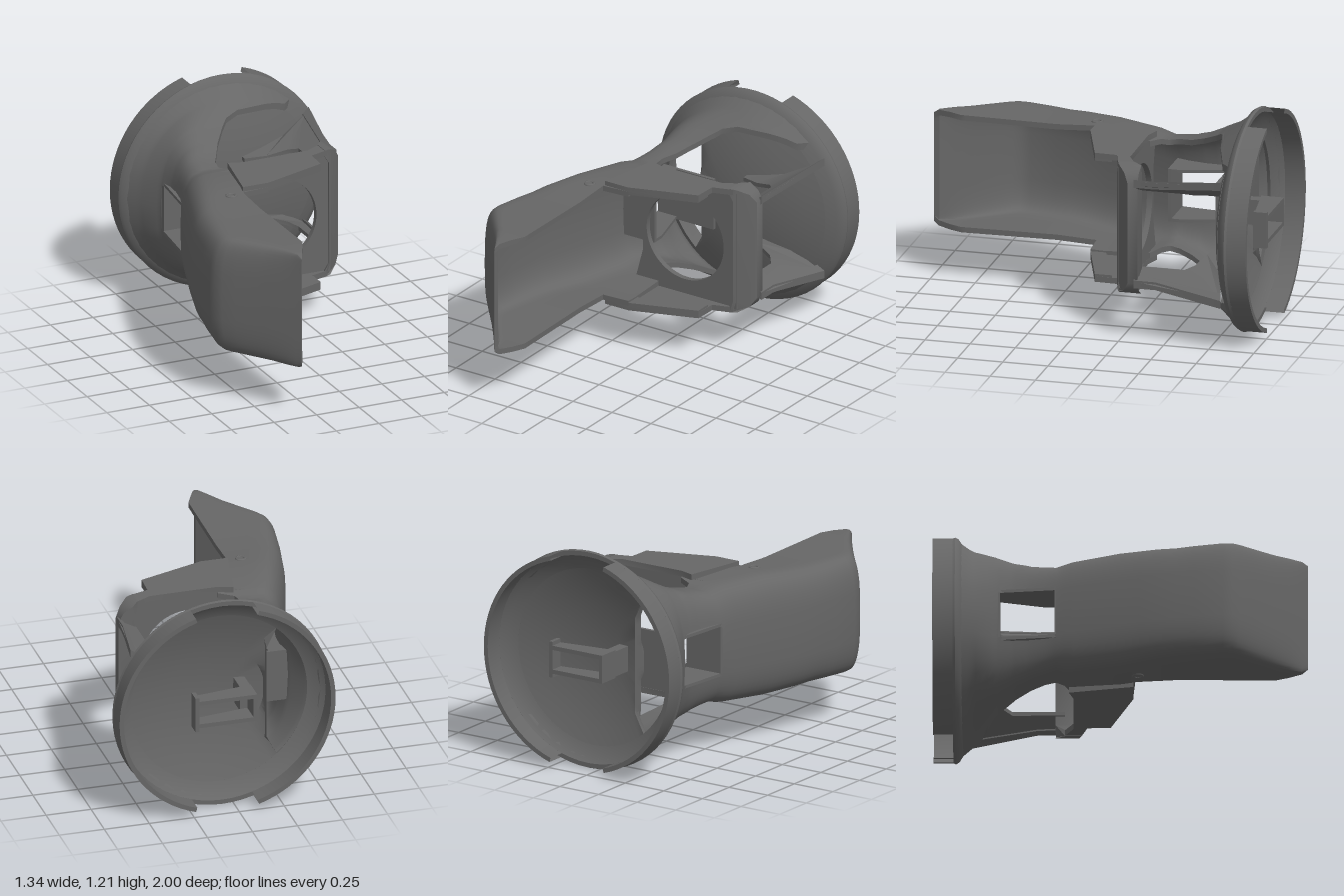
import * as THREE from 'three';
import { toCreasedNormals } from 'three/addons/utils/BufferGeometryUtils.js';

const CX = 0.065; // axis of the round flange
const grey = new THREE.MeshStandardMaterial({ color: 0x666666, side: THREE.DoubleSide });
grey.name = 'dark grey plastic';

// Linear lookup in a list of [z, value] pairs
function look(table, z) {
  for (let i = 1; i < table.length; i++) {
    const [z0, a] = table[i - 1], [z1, b] = table[i];
    if (z <= z1) return a + (b - a) * Math.max(0, (z - z0) / (z1 - z0));
  }
  return table[table.length - 1][1];
}

// Spine line, half width, corner depth, corner squareness and open edge of the body along z
const SPINE = [[-0.87, -0.52], [-0.78, -0.465], [-0.66, -0.4], [-0.58, -0.383], [-0.5, -0.385], [-0.4, -0.405],
  [-0.25, -0.46], [0, -0.545], [0.2, -0.61], [0.4, -0.65], [0.55, -0.67], [0.6, -0.665], [0.64, -0.64], [0.8, -0.505], [1, -0.34]];
const HALF = [[-0.87, 0.585], [-0.82, 0.545], [-0.77, 0.505], [-0.65, 0.418], [-0.56, 0.37], [-0.475, 0.337], [-0.34, 0.312],
  [-0.25, 0.33], [0, 0.34], [0.3, 0.325], [0.9, 0.33], [0.97, 0.325], [1, 0.305]];
const CORNER = [[-0.87, 0.585], [-0.78, 0.5], [-0.66, 0.27], [-0.5, 0.17], [-0.25, 0.18], [0, 0.18], [0.3, 0.16], [0.63, 0.12], [0.85, 0.08], [1, 0.01]];
const SQUARE = [[-0.8, 1], [-0.6, 0.75], [-0.4, 0.65]];
const EDGE = [[-0.87, 0.48], [-0.8, 0.4], [-0.75, 0.26], [-0.71, 0.08], [-0.68, 0], [-0.64, -0.04], [-0.55, -0.11], [-0.48, -0.15],
  [-0.4, -0.195], [-0.35, -0.2], [-0.3, -0.18], [-0.26, -0.1], [0.07, -0.1], [0.08, -0.255], [0.83, -0.255], [1, -0.335]];

// One U-shaped cross-section, inset by t
function section(z, t) {
  const edge = look(EDGE, z), h = look(HALF, z) - t, e = look(SQUARE, z);
  const xl = Math.min(look(SPINE, z) + t, edge);
  const xc = Math.min(xl + Math.max(look(CORNER, z) - t, 0.005), edge);
  const half = [[xl, 0]], a0 = Math.asin((0.13 / h) ** (1 / e));
  for (let k = 0; k <= 9; k++) {
    const a = a0 + (Math.PI / 2 - a0) * k / 9;
    half.push([xc - (xc - xl) * Math.max(0, Math.cos(a)) ** e, h * Math.sin(a) ** e]);
  }
  for (let k = 1; k <= 5; k++) {
    const x = xc + (edge - xc) * k / 5;
    const y = z < -0.68 && x > CX ? Math.sqrt(Math.max(0, h * h - (x - CX) ** 2)) : h;
    half.push([x, y]);
  }
  return [...half.slice(1).reverse().map(([x, y]) => [x, -y, z]), ...half.map(([x, y]) => [x, y, z])];
}

// Thick open shell running from the flange through the neck to the grip end
function bodyShell() {
  const zs = [...new Set([...SPINE, ...HALF, ...EDGE].map(p => p[0]).concat([-0.83, 0.1, 0.7, 0.75, 0.94]))].sort((a, b) => a - b);
  const outer = zs.map(z => section(z, 0)), inner = zs.map(z => section(z, 0.03));
  const pos = [], n = outer[0].length, m = zs.length;
  const quad = (a, b, c, d) => pos.push(...a, ...b, ...c, ...a, ...c, ...d);
  for (let i = 0; i < m - 1; i++) {
    for (let j = 0; j < n - 1; j++) {
      const mid = (n - 1) / 2;
      const inWindow = (j === mid || j === mid - 1) && zs[i] >= -0.655 && zs[i + 1] <= -0.33;
      if (inWindow) continue;
      quad(outer[i][j], outer[i][j + 1], outer[i + 1][j + 1], outer[i + 1][j]);
      quad(inner[i][j], inner[i + 1][j], inner[i + 1][j + 1], inner[i][j + 1]);
    }
    quad(outer[i][0], outer[i + 1][0], inner[i + 1][0], inner[i][0]);
    quad(outer[i][n - 1], inner[i][n - 1], inner[i + 1][n - 1], outer[i + 1][n - 1]);
  }
  for (let j = 0; j < n - 1; j++) quad(outer[m - 1][j], outer[m - 1][j + 1], inner[m - 1][j + 1], inner[m - 1][j]);
  const g = new THREE.BufferGeometry();
  g.setAttribute('position', new THREE.Float32BufferAttribute(pos, 3));
  return g;
}

// Ring or dome about the flange axis; angles in degrees from +x
function turned(profile, from = 0, to = 360, seg = 64) {
  const rad = Math.PI / 180;
  const pts = profile.map(([r, z]) => new THREE.Vector2(r, z));
  return new THREE.LatheGeometry(pts, seg, (from + 90) * rad, (to - from) * rad).rotateX(Math.PI / 2).translate(CX, 0, 0);
}

// Domed floor, cut back to a straight edge where the hollow neck opens into it
function floorGeometry() {
  const g = turned([[0, -0.725], [0.14, -0.73], [0.27, -0.75], [0.4, -0.78], [0.505, -0.815], [0.495, -0.835],
    [0.4, -0.8], [0.27, -0.77], [0.14, -0.75], [0, -0.745]], 0, 360, 80);
  const p = g.attributes.position;
  for (let i = 0; i < p.count; i++) {
    const x = p.getX(i) - CX, y = p.getY(i);
    if (x < -0.265 && Math.abs(y) < -x) {
      const k = -0.265 / x;
      p.setXY(i, CX + x * k, y * k);
    }
  }
  return g;
}

// Plate with an outline in x and z, spanning y0 to y1
function slab(outline, y0, y1) {
  const s = new THREE.Shape(outline.map(([x, z]) => new THREE.Vector2(x, -z)));
  return new THREE.ExtrudeGeometry(s, { depth: y1 - y0, bevelEnabled: false }).rotateX(-Math.PI / 2).translate(0, y0, 0);
}

// Bends a plate lying on y = 0 so that it curves outward with x
function flare(geo, side) {
  const p = geo.attributes.position;
  for (let i = 0; i < p.count; i++) p.setY(i, p.getY(i) + side * (0.165 + 0.88 * (p.getX(i) - 0.12) ** 2));
  geo.computeVertexNormals();
  return geo;
}

function box(x0, x1, y0, y1, z0, z1) {
  return new THREE.BoxGeometry(x1 - x0, y1 - y0, z1 - z0).translate((x0 + x1) / 2, (y0 + y1) / 2, (z0 + z1) / 2);
}

export function createModel() {
  const model = new THREE.Group();
  const body = new THREE.Group();
  body.name = 'gripShell';
  body.position.y = 0.605;
  model.add(body);
  const add = (name, geo) => {
    const mesh = new THREE.Mesh(toCreasedNormals(geo, 0.6), grey);
    mesh.name = name;
    body.add(mesh);
  };

  add('gripAndNeck', bodyShell());

  // Flange: rim, two wall arcs with gaps between them, and the domed floor
  add('flangeRim', turned([[0.575, -0.893], [0.6, -0.893], [0.605, -0.88], [0.595, -0.862], [0.56, -0.84], [0.5, -0.815],
    [0.49, -0.835], [0.545, -0.86], [0.575, -0.893]]));
  const wall = [[0.575, -1], [0.6, -1], [0.6, -0.89], [0.575, -0.89], [0.575, -1]];
  add('flangeWallLeft', turned(wall, -73, 73, 32));
  add('flangeWallRight', turned(wall, 107, 253, 32));
  add('flangeFloor', floorGeometry());

  // Front plate with the round opening
  const plate = new THREE.Shape([[-0.25, 0.33], [-0.2, 0.14], [-0.2, -0.14], [-0.25, -0.33], [0.4, -0.34], [0.4, 0.34]]
    .map(p => new THREE.Vector2(...p)));
  plate.holes.push(new THREE.Path().absarc(0.07, 0, 0.247, 0, Math.PI * 2, true));
  add('frontPlate', new THREE.ExtrudeGeometry(plate, { depth: 0.03, bevelEnabled: false, curveSegments: 32 }).translate(0, 0, -0.25));

  // Cross bar of the front frame, its outer face sloping back
  const bar = new THREE.Shape([[0.36, 0.365], [0.4, 0.36], [0.45, 0.33], [0.48, 0.28], [0.48, -0.28], [0.45, -0.33], [0.4, -0.36],
    [0.36, -0.365], [0.36, -0.33], [0.385, -0.29], [0.385, 0.29], [0.36, 0.33]].map(p => new THREE.Vector2(...p)));
  const barGeo = new THREE.ExtrudeGeometry(bar, { depth: 0.14, bevelEnabled: false }).translate(0, 0, -0.35);
  const p = barGeo.attributes.position;
  for (let i = 0; i < p.count; i++) {
    const x = p.getX(i);
    if (p.getZ(i) > -0.25) p.setZ(i, -0.21 - Math.max(0, x - 0.385) * 0.9);
    else if (x < 0.37) p.setZ(i, -0.3);
  }
  add('frameBar', barGeo);

  const sideOutline = [[-0.18, -0.275], [-0.1, -0.25], [0.28, -0.255], [0.38, -0.31], [0.38, -0.215], [0.27, -0.18],
    [0.265, -0.055], [-0.1, 0.07], [-0.25, 0.07]];
  const railOutline = [[-0.25, 0.07], [-0.1, 0.07], [0.265, -0.055], [0.265, -0.15], [-0.2, 0.02]];
  const webOutline = [[0.38, -0.3], [0.38, -0.58], [0.34, -0.63], [0.23, -0.667], [0.12, -0.705], [0.12, -0.74],
    [0.27, -0.77], [0.4, -0.793], [0.54, -0.82], [0.51, -0.57], [0.48, -0.33]];
  const ribOutline = [[0.455, -0.33], [0.485, -0.33], [0.485, -0.45], [0.555, -0.83], [0.515, -0.82], [0.46, -0.45]];
  const ductOutline = [[-0.385, -0.65], [-0.27, -0.65], [-0.2, -0.4], [-0.2, -0.335], [-0.42, -0.335]];
  for (const s of [1, -1]) {
    const sided = (outline, a, b) => slab(outline, Math.min(s * a, s * b), Math.max(s * a, s * b));
    add('frameSide', sided(sideOutline, 0.33, 0.362));
    add('frameRail', sided(railOutline, 0.318, 0.345));
    add('armWeb', flare(slab(webOutline, -0.011, 0.011), s));
    add('armRib', flare(slab(ribOutline, -0.022, 0.022), s));
    add('windowDuctSide', sided(ductOutline, 0.13, 0.147));
    // Screw boss on the grip
    add('screwBoss', new THREE.TorusGeometry(0.024, 0.009, 8, 20).rotateX(Math.PI / 2).translate(-0.33, s * 0.333, 0.095));
    // Latch rails behind the floor
    add('latchRail', sided([[-0.1, -1], [0.24, -1], [0.24, -0.925], [-0.1, -0.875]], 0.055, 0.078));
  }

  // Back and front walls of the spine window duct
  add('windowDuctBack', box(-0.385, -0.03, -0.147, 0.147, -0.66, -0.64));
  add('windowDuctFront', box(-0.42, -0.2, -0.147, 0.147, -0.35, -0.33));

  // Latch cross pieces and the block tying the latch to the duct
  add('latchEnd', box(0.22, 0.243, -0.1, 0.1, -1, -0.925));
  add('latchHead', box(-0.1, -0.08, -0.078, 0.078, -1, -0.875));
  add('latchBlock', box(-0.1, -0.04, -0.07, 0.07, -0.88, -0.65));
  return model;
}
